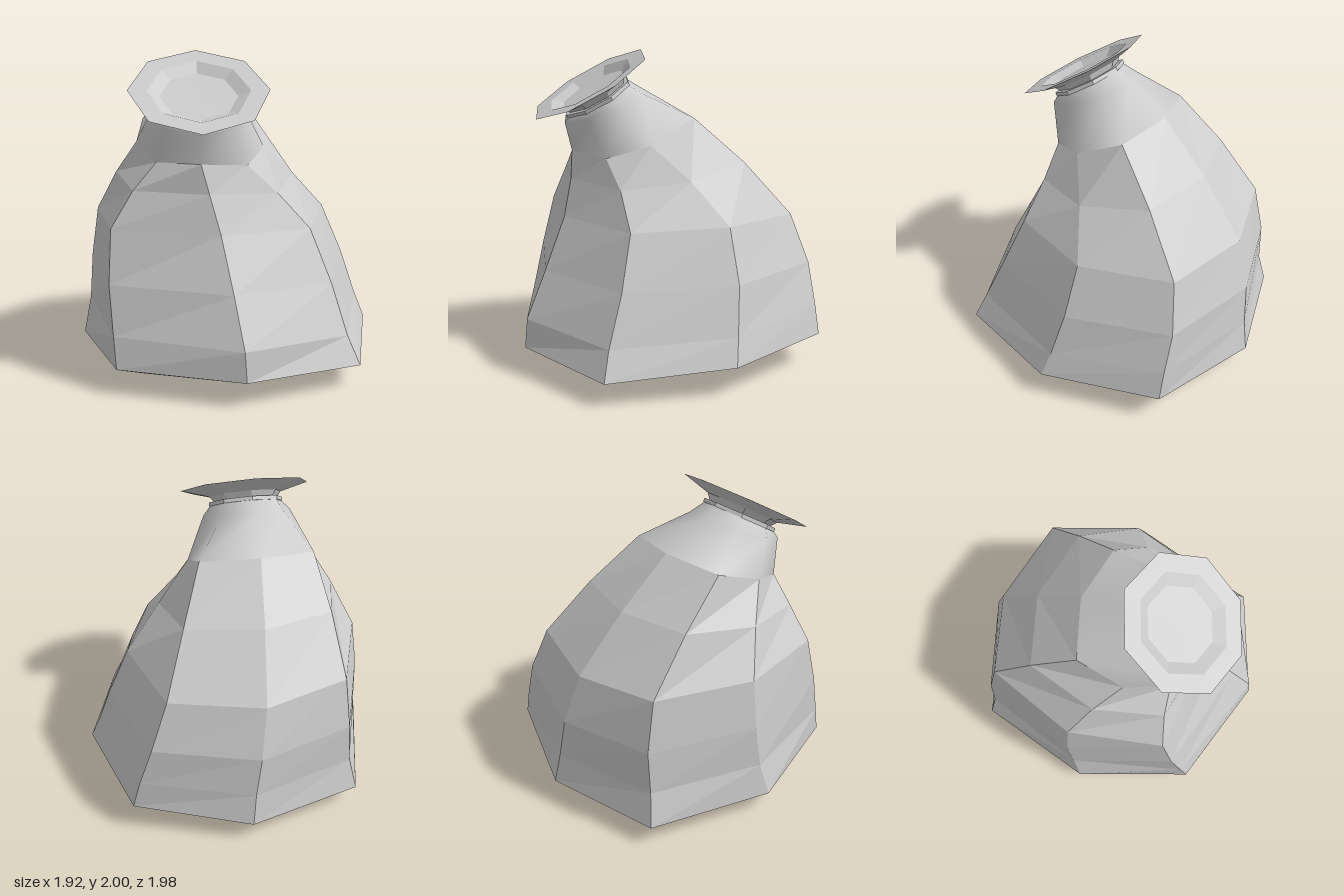
import * as THREE from 'three';

const SIDES = 8;
const V = (x, y, z) => new THREE.Vector3(x, y, z);
const grey = (flatShading) =>
  new THREE.MeshStandardMaterial({ color: 0xcccccc, flatShading, side: THREE.DoubleSide });

// An octagonal loop, starting at the front and running towards +x, tilted forward
function octagon(centre, radius, tilt) {
  return Array.from({ length: SIDES }, (_, i) => {
    const a = (i / SIDES) * Math.PI * 2;
    return V(radius * Math.sin(a), 0, radius * Math.cos(a))
      .applyAxisAngle(V(1, 0, 0), tilt).add(centre);
  });
}

// Skin a stack of loops, ordered from the underside upwards
function skin(name, loops, flat) {
  const geo = new THREE.BufferGeometry().setFromPoints(loops.flat());
  const index = [];
  for (let r = 0; r < loops.length - 1; r++) {
    for (let c = 0; c < SIDES; c++) {
      const n = (c + 1) % SIDES;
      const a = r * SIDES + c, b = r * SIDES + n;
      index.push(a, b, b + SIDES, a, b + SIDES, a + SIDES);
    }
  }
  geo.setIndex(index);
  geo.computeVertexNormals();
  const mesh = new THREE.Mesh(geo, grey(flat));
  mesh.name = name;
  return mesh;
}

// Key cross-sections of the slumped sack: front, front left, left ... front right
const keyLoops = [
  [[.03, .16, .99], [.75, .14, .75], [.96, .18, 0], [.73, .2, -.75],
    [0, .15, -.99], [-.73, .14, -.78], [-.96, .13, 0], [-.72, .16, .73]],
  [[.02, .34, .97], [.68, .31, .69], [.9, .34, -.04], [.68, .39, -.75],
    [-.02, .36, -.95], [-.68, .36, -.74], [-.915, .36, -.05], [-.735, .35, .68]],
  [[-.09, .95, .67], [.48, .93, .46], [.67, .95, -.11], [.48, .95, -.68],
    [-.1, .94, -.82], [-.63, .97, -.67], [-.85, .97, -.08], [-.74, .97, .52]],
  [[-.2, 1.36, .57], [.09, 1.33, .45], [.22, 1.41, .2], [.19, 1.57, -.12],
    [-.18, 1.6, -.2], [-.54, 1.56, -.1], [-.58, 1.45, .2], [-.46, 1.36, .46]],
].map((loop) => loop.map((p) => V(...p)));

// Smoothly interpolated loop halfway between loops b and c
function between(a, b, c, d) {
  return b.map((p, i) => p.clone().add(c[i]).multiplyScalar(9 / 16)
    .addScaledVector(a[i].clone().add(d[i]), -1 / 16));
}

export function createModel() {
  const model = new THREE.Group();
  model.name = 'sack';
  const [base, low, middle, shoulder] = keyLoops;
  const tilt = 0.54;
  const mouthCentre = V(-.2, 1.785, .44);
  const axis = V(0, Math.cos(tilt), Math.sin(tilt));

  // Body with a shallow, slightly slanted underside
  const neckLoop = octagon(V(-.2, 1.645, .345), .29, .38);
  const underside = base.map((p) => {
    const q = p.clone().multiplyScalar(.79);
    q.y = .07 + .05 * q.x + .04 * q.z;
    return q;
  });
  underside[5].y = 0;
  const centre = underside.map(() => V(0, .06, 0));
  model.add(skin('body', [
    centre, underside, base, low,
    between(base, low, middle, shoulder), middle,
    between(low, middle, shoulder, neckLoop), shoulder,
  ], true));

  // Gathered neck
  const neckTop = octagon(mouthCentre.clone().addScaledVector(axis, -.1), .23, tilt);
  model.add(skin('neck', [shoulder, neckLoop, neckTop], false));

  // Tie and flared mouth share the tilt of the neck
  const mouth = new THREE.Group();
  mouth.name = 'mouth';
  mouth.position.copy(mouthCentre);
  mouth.rotation.x = tilt;
  model.add(mouth);

  const tie = new THREE.Mesh(new THREE.CylinderGeometry(.245, .245, .025, SIDES), grey(true));
  tie.name = 'tie';
  tie.position.y = -.1;
  mouth.add(tie);

  const profile = [[.2, -.1], [.24, -.05], [.425, 0], [.31, -.004], [.235, -.045], [0, -.05]]
    .map(([r, y]) => new THREE.Vector2(r, y));
  const flare = new THREE.Mesh(new THREE.LatheGeometry(profile, SIDES), grey(true));
  flare.name = 'flaredMouth';
  mouth.add(flare);

  return model;
}
